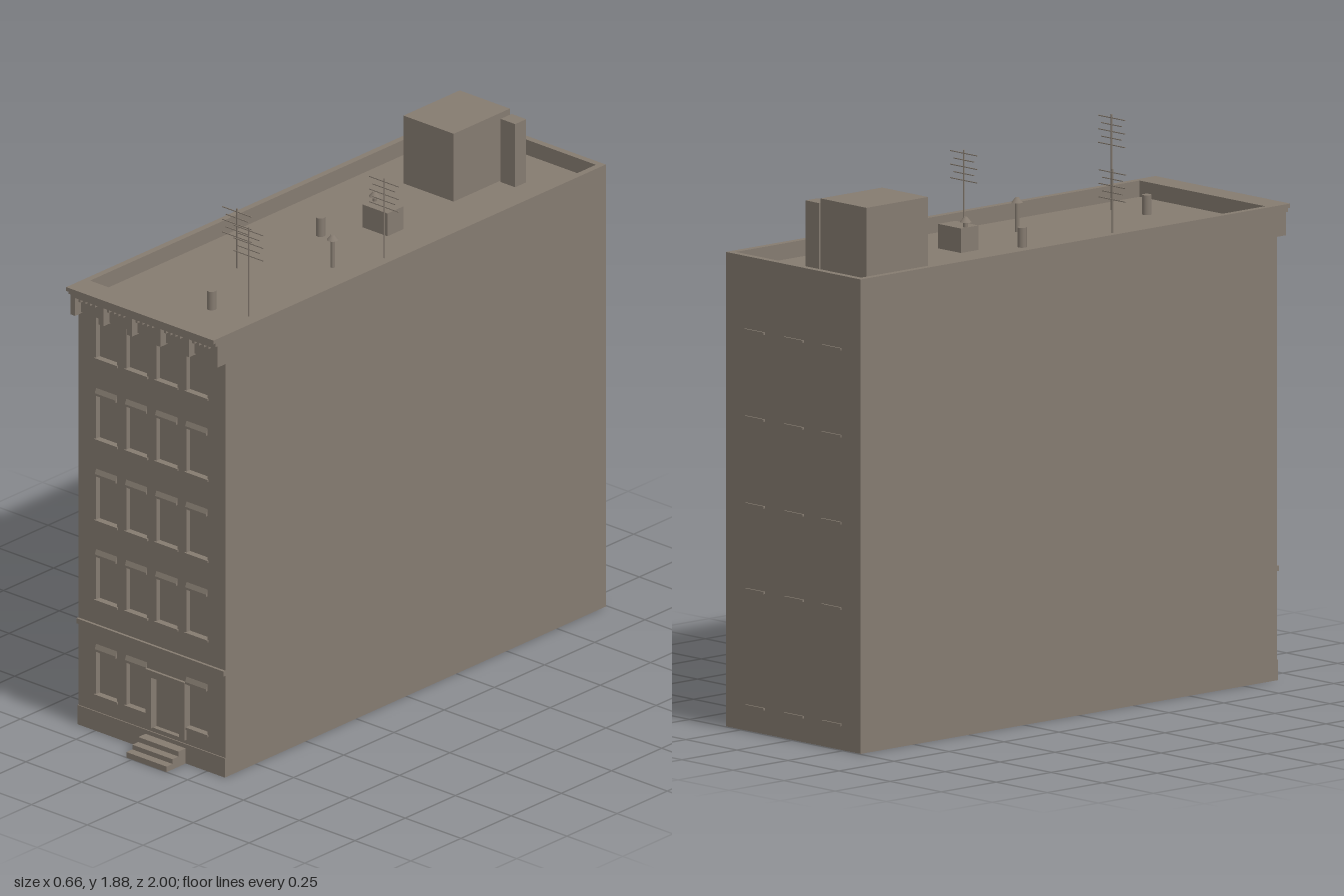
import * as THREE from 'three';

export function createModel() {
  const building = new THREE.Group();
  building.name = 'building';
  const stone = new THREE.MeshStandardMaterial({ color: 0x857b70, side: THREE.DoubleSide });
  stone.name = 'brownStone';

  const add = (name, geometry, parent = building) => {
    const mesh = new THREE.Mesh(geometry, stone);
    mesh.name = name;
    parent.add(mesh);
    return mesh;
  };
  // Box given by its lower and upper limits on each axis
  const box = (name, x0, x1, y0, y1, z0, z1, parent) => {
    const mesh = add(name, new THREE.BoxGeometry(x1 - x0, y1 - y0, z1 - z0), parent);
    mesh.position.set((x0 + x1) / 2, (y0 + y1) / 2, (z0 + z1) / 2);
    return mesh;
  };
  const cylinder = (name, x, z, y0, y1, r, sides, parent, rTop = r) => {
    const mesh = add(name, new THREE.CylinderGeometry(rTop, r, y1 - y0, sides), parent);
    mesh.position.set(x, (y0 + y1) / 2, z);
    return mesh;
  };
  const group = (name) => {
    const g = new THREE.Group();
    g.name = name;
    building.add(g);
    return g;
  };

  const W = 0.33, FRONT = 0.9, BACK = -0.994, DECK = 1.555, TOP = 1.61, DEPTH = 0.018;

  // Hollow shell, open underneath
  for (const side of [-1, 1]) {
    const wall = add(side > 0 ? 'leftWall' : 'rightWall', new THREE.PlaneGeometry(FRONT - BACK, DECK));
    wall.rotation.y = side * Math.PI / 2;
    wall.position.set(side * W, DECK / 2, (FRONT + BACK) / 2);
  }
  const backWall = add('backWall', new THREE.PlaneGeometry(2 * W, DECK));
  backWall.rotation.y = Math.PI;
  backWall.position.set(0, DECK / 2, BACK);
  const deck = add('roofDeck', new THREE.PlaneGeometry(2 * W, FRONT - BACK));
  deck.rotation.x = -Math.PI / 2;
  deck.position.set(0, DECK, (FRONT + BACK) / 2);

  // Front wall with window and door openings
  const facade = new THREE.Shape();
  facade.moveTo(-W, 0).lineTo(W, 0).lineTo(W, DECK).lineTo(-W, DECK).closePath();
  const windows = group('frontWindows');
  const hood = new THREE.Shape();
  hood.moveTo(0, 0).lineTo(-0.007, 0).lineTo(-0.007, 0.008).lineTo(0, 0.025).closePath();
  const columns = [-0.203, -0.068, 0.067, 0.202], half = 0.047;
  const floors = [[0.13, 0.29], [0.475, 0.635], [0.765, 0.928], [1.06, 1.222], [1.355, 1.51]];
  floors.forEach(([y0, y1], floor) => {
    columns.forEach((x, column) => {
      if (floor === 0 && column === 2) return;
      const hole = new THREE.Path();
      const right = floor === 0 && column === 1 ? x + half - 0.002 : x + half;
      hole.moveTo(x - half, y0).lineTo(x - half, y1);
      if (floor === 0) {
        hole.quadraticCurveTo(x - half / 2, y1 - 0.012, x, y1).quadraticCurveTo(x + half / 2, y1 - 0.012, right, y1);
      } else hole.lineTo(right, y1);
      hole.lineTo(right, y0).closePath();
      facade.holes.push(hole);
      const pane = add('windowPane', new THREE.PlaneGeometry(2 * half, y1 - y0), windows);
      pane.position.set(x, (y0 + y1) / 2, FRONT - DEPTH);
      box('windowSill', x - half - 0.005, x + half + 0.005, y0 - 0.006, y0 + 0.002, FRONT - DEPTH, FRONT + 0.006, windows);
      // Sloped hood moulding above the opening
      const head = add('windowHood', new THREE.ExtrudeGeometry(hood, { depth: 2 * half, bevelEnabled: false }), windows);
      head.rotation.y = Math.PI / 2;
      head.position.set(x - half, y1, FRONT);
    });
  });
  const doorHole = new THREE.Path();
  doorHole.moveTo(0.005, 0.085).lineTo(0.005, 0.27).lineTo(0.13, 0.27).lineTo(0.13, 0.085).closePath();
  facade.holes.push(doorHole);
  add('frontWall', new THREE.ExtrudeGeometry(facade, { depth: DEPTH, bevelEnabled: false, curveSegments: 5 }))
    .position.z = FRONT - DEPTH;

  // Doorway and stoop
  const entrance = group('entrance');
  add('door', new THREE.PlaneGeometry(0.125, 0.185), entrance).position.set(0.0675, 0.1775, FRONT - DEPTH);
  box('doorPost', -0.02, 0.005, 0.085, 0.295, FRONT, 0.91, entrance);
  box('doorPost', 0.13, 0.155, 0.085, 0.295, FRONT, 0.91, entrance);
  box('doorLintel', 0.005, 0.13, 0.27, 0.295, FRONT, 0.91, entrance);
  [[0.02, 1], [0.037, 0.97], [0.055, 0.94]].forEach(([y, z], i) =>
    box('step', -0.025, 0.155, i * 0.0185, y, FRONT, z, entrance));

  // Horizontal mouldings across the front
  box('plinth', -W, W, 0, 0.07, FRONT, 0.904);
  box('bandCourse', -W, W, 0.37, 0.388, FRONT, 0.91);

  // Cornice with brackets and dentils
  const cornice = group('cornice');
  box('corniceTop', -W, W, 1.596, TOP, FRONT, 0.96, cornice);
  box('corniceMiddle', -W, W, 1.583, 1.596, FRONT, 0.95, cornice);
  box('corniceLower', -W, W, 1.57, 1.583, FRONT, 0.94, cornice);
  box('frieze', -W, W, 1.51, 1.57, FRONT, 0.912, cornice);
  for (let i = 0; i < 6; i++) {
    const x = -0.319 + i * 0.1276;
    box('bracket', x - 0.011, x + 0.011, 1.505, 1.57, FRONT, 0.94, cornice);
    for (let j = 1; i < 5 && j < 6; j++) {
      const d = x + j * 0.1276 / 6;
      box('dentil', d - 0.005, d + 0.005, 1.555, 1.57, FRONT, 0.93, cornice);
    }
  }

  // Parapet around the roof
  const parapet = group('parapet');
  box('parapetFront', -W, W, DECK, TOP, 0.867, FRONT, parapet);
  box('parapetBack', -W, W, DECK, TOP, BACK, -0.97, parapet);
  box('parapetSide', -W, -0.307, DECK, TOP, -0.97, 0.867, parapet);
  box('parapetSide', 0.307, W, DECK, TOP, -0.97, 0.867, parapet);

  // Thin sills on the rear wall
  const rear = group('rearSills');
  for (const y of [0.085, 0.48, 0.77, 1.065, 1.36]) {
    for (const x of [-0.19, -0.005, 0.185]) box('rearSill', x - 0.047, x + 0.047, y - 0.004, y + 0.004, -1, BACK, rear);
  }

  // Roof structures
  box('stairHouse', -0.15, 0.075, DECK, 1.802, -0.8, -0.52);
  box('chimney', 0.083, 0.148, DECK, 1.785, -0.8, -0.745);
  box('ventBox', -0.01, 0.102, DECK, 1.638, -0.24, -0.16);
  for (const [x, z] of [[-0.07, 0.018 - 0.036], [0.065, 0.675]]) cylinder('roofPipe', x, z, DECK, 1.622, 0.016, 12);
  for (const [x, z, base] of [[0, -0.21, 1.638], [0.135, 0.15, DECK]]) {
    const vent = group('mushroomVent');
    cylinder('ventStem', x, z, base, 1.658, 0.008, 10, vent);
    cylinder('ventCap', x, z, 1.655, 1.672, 0.02, 12, vent, 0.006);
  }

  // Aerials with crossbars
  for (const [x, z, top] of [[0.2, 0.64, 1.88], [0.213, -0.02, 1.845], [-0.095, 0.37, 1.772]]) {
    const aerial = group('aerial');
    cylinder('mast', x, z, DECK, top, 0.003, 6, aerial);
    for (let i = 0; i < 5; i++) {
      const y = top - 0.012 - i * 0.023, reach = i % 2 ? 0.05 : 0.066;
      box('crossbar', x - reach, x + reach, y - 0.0015, y + 0.0015, z - 0.0015, z + 0.0015, aerial);
    }
  }
  return building;
}
